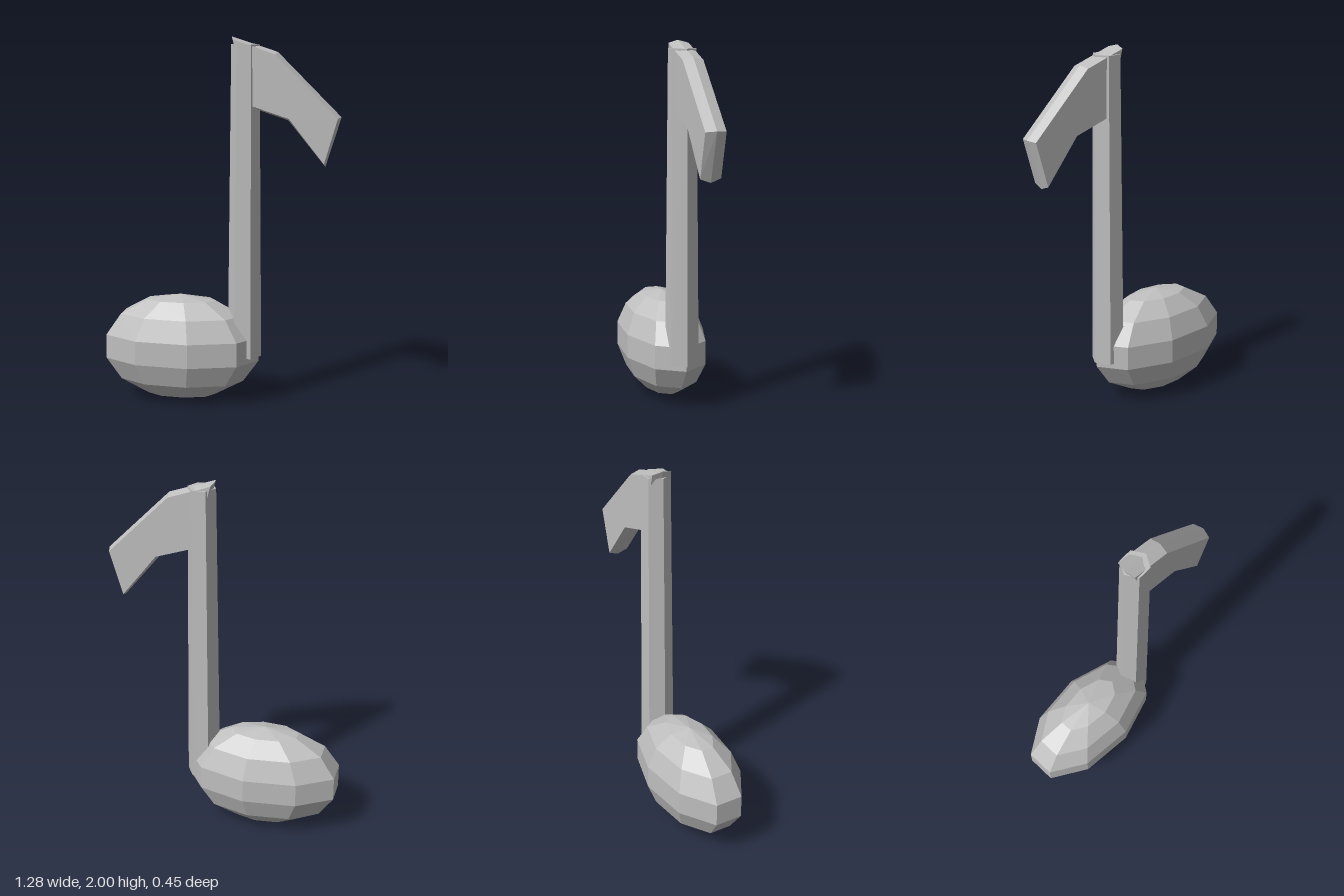
import * as THREE from 'three';

export function createModel() {
  const group = new THREE.Group();
  const grey = new THREE.MeshStandardMaterial({ color: 0xbfbfbf, flatShading: true });
  grey.name = 'grey';

  const add = (name, geometry) => {
    const mesh = new THREE.Mesh(geometry, grey);
    mesh.name = name;
    group.add(mesh);
    return mesh;
  };

  // Faceted oval note head, one corner pointing to the stem
  const head = add('noteHead', new THREE.SphereGeometry(1, 9, 7, Math.PI));
  head.scale.set(0.445, 0.297, 0.233);
  head.position.set(-0.232, 0.297, 0);

  // Six-sided stem, slightly thinner at the top
  const stemGeometry = new THREE.CylinderGeometry(0.076, 0.093, 1.7, 6);
  stemGeometry.rotateY(Math.PI / 2);
  add('stem', stemGeometry).position.set(0.123, 1.11, 0);

  // Bent flag whose rim rises to a ridge along its middle
  const outline = [
    [0.05, 2.0], [0.14, 1.63], [0.355, 1.56],
    [0.555, 1.315], [0.637, 1.58], [0.297, 1.92],
  ].map(([x, y]) => new THREE.Vector2(x, y));
  const flagGeometry = new THREE.ExtrudeGeometry(new THREE.Shape(outline), {
    depth: 0.002,
    bevelEnabled: true,
    bevelThickness: 0.055,
    bevelSize: 0.014,
    bevelOffset: -0.014,
    bevelSegments: 1,
  });
  flagGeometry.translate(0, 0, -0.001);
  add('flag', flagGeometry);

  return group;
}
